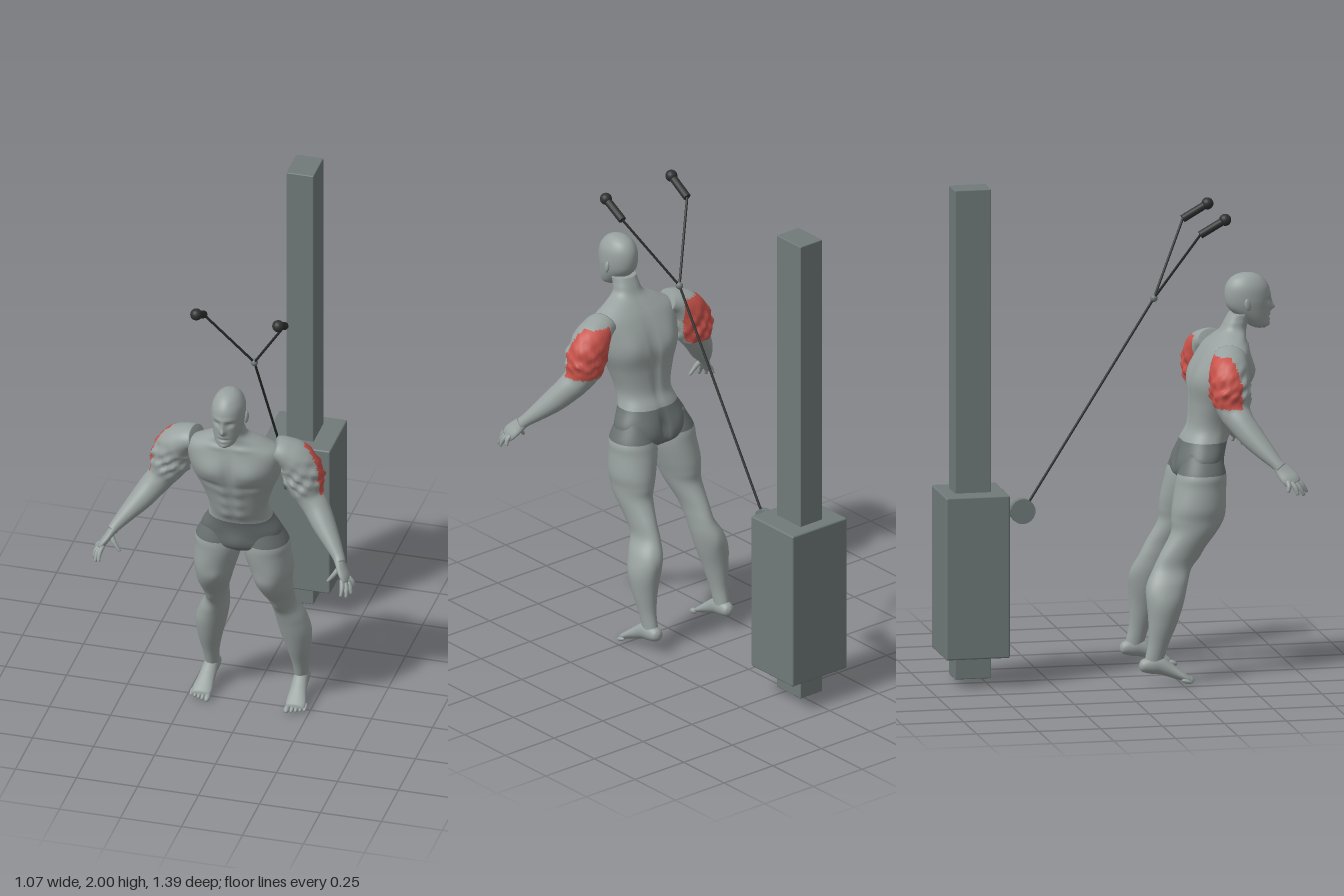
import * as THREE from 'three';
import { RoundedBoxGeometry } from 'three/addons/geometries/RoundedBoxGeometry.js';

const V = (x, y, z) => new THREE.Vector3(x, y, z);
const mat = (name, color) => {
  const m = new THREE.MeshStandardMaterial({ color });
  m.name = name;
  return m;
};

// Smooth skin through sections [x, y, z, radiusU, radiusV].
// axes: fixed [u, v] ring directions, or null to follow the path.
// warp(p, sin) shapes each point; pick(p) chooses the material of each face.
function loft(sections, { axes = null, side = 1, seg = 28, sub = 5, power = 1, warp = null, pick = () => 0 } = {}) {
  const path = new THREE.CatmullRomCurve3(sections.map(s => V(s[0], s[1], s[2])), false, 'catmullrom', 0.5);
  const radii = new THREE.CatmullRomCurve3(sections.map(s => V(s[3], s[4], 0)), false, 'catmullrom', 0.5);
  const n = (sections.length - 1) * sub;
  const pts = [];
  let facing = 1;
  for (let i = 0; i <= n; i++) {
    const c = path.getPoint(i / n), r = radii.getPoint(i / n), t = path.getTangent(i / n);
    let u, v;
    if (axes) [u, v] = axes;
    else {
      v = V(0, 0, 1).addScaledVector(t, -t.z).normalize();
      u = v.clone().cross(t);
    }
    facing = Math.sign(u.clone().cross(v).dot(t));
    for (let j = 0; j < seg; j++) {
      const a = (j / seg) * Math.PI * 2, co = Math.cos(a), si = Math.sin(a);
      const p = c.clone()
        .addScaledVector(u, Math.sign(co) * Math.abs(co) ** power * r.x)
        .addScaledVector(v, Math.sign(si) * Math.abs(si) ** power * r.y);
      if (warp) warp(p, si, c);
      pts.push(p);
    }
  }
  const first = pts.length;
  pts.push(path.getPoint(0), path.getPoint(1));
  const lists = [[], []];
  const face = (a, b, c) => {
    const mid = pts[a].clone().add(pts[b]).add(pts[c]).divideScalar(3);
    lists[pick(mid)].push(...(facing * side > 0 ? [a, b, c] : [a, c, b]));
  };
  for (let j = 0; j < seg; j++) {
    const k = (j + 1) % seg;
    for (let i = 0; i < n; i++) {
      const a = i * seg + j, b = i * seg + k;
      face(a, b, a + seg);
      face(b, b + seg, a + seg);
    }
    face(first, k, j);
    face(first + 1, n * seg + j, n * seg + k);
  }
  const g = new THREE.BufferGeometry();
  g.setAttribute('position', new THREE.Float32BufferAttribute(pts.flatMap(p => [p.x * side, p.y, p.z]), 3));
  g.setIndex([...lists[0], ...lists[1]]);
  g.addGroup(0, lists[0].length, 0);
  g.addGroup(lists[0].length, lists[1].length, 1);
  g.computeVertexNormals();
  return g;
}

// Soft mirrored swellings: [x, y, widthX, widthY, amount, 1 front | -1 back]
const bumps = list => (p, si) => {
  let dz = 0;
  for (const [x, y, wx, wy, d, f] of list) {
    const w = Math.exp(-(((Math.abs(p.x) - x) / wx) ** 2) - ((p.y - y) / wy) ** 2);
    dz += f * d * w * Math.max(0, f * si);
  }
  p.z += dz;
};

export function createModel() {
  const skin = mat('grey skin', 0x98a19f), shortsMat = mat('dark grey shorts', 0x697070);
  const red = mat('red muscle', 0xc8524a), steel = mat('machine grey', 0x707979);
  const dark = mat('dark cable and grips', 0x2d3130);
  const root = new THREE.Group();
  root.name = 'cableExercise';
  const add = (name, geometry, material, parent = root) => {
    const m = new THREE.Mesh(geometry, material);
    m.name = name;
    parent.add(m);
    return m;
  };
  const group = name => {
    const g = new THREE.Group();
    g.name = name;
    root.add(g);
    return g;
  };
  const X = V(1, 0, 0), Y = V(0, 1, 0), Z = V(0, 0, 1), flat = [X, Z];

  // Machine: post, weight housing, bracket and pulley
  const machine = group('machine');
  const box = (name, w, y0, y1, z0, z1, r) =>
    add(name, new RoundedBoxGeometry(w, y1 - y0, z1 - z0, 2, r), steel, machine).position.set(0, (y0 + y1) / 2, (z0 + z1) / 2);
  box('post', 0.112, 0.03, 2, -0.637, -0.49, 0.004);
  box('housing', 0.28, 0.125, 0.78, -0.69, -0.432, 0.007);
  box('pulleyBracket', 0.03, 0.67, 0.7, -0.44, -0.36, 0.004);
  const pulley = add('pulley', new THREE.CylinderGeometry(0.05, 0.05, 0.03, 32), steel, machine);
  pulley.rotation.z = Math.PI / 2;
  pulley.position.set(0, 0.687, -0.353);

  // Cable, ropes and grips
  const rig = group('cableRig');
  const rod = (name, a, b, r) => {
    const m = add(name, new THREE.CylinderGeometry(r, r, a.distanceTo(b), 14), dark, rig);
    m.position.copy(a).lerp(b, 0.5);
    m.quaternion.setFromUnitVectors(Y, b.clone().sub(a).normalize());
  };
  const knot = V(0, 1.522, 0.178);
  rod('cable', V(0, 0.725, -0.325), knot, 0.005);
  add('knot', new THREE.SphereGeometry(0.015, 16, 12), steel, rig).position.copy(knot);
  for (const s of [1, -1]) {
    const low = V(s * 0.166, 1.803, 0.33), high = V(s * 0.168, 1.86, 0.43);
    rod('rope', knot, low, 0.005);
    rod('grip', low, high, 0.016);
    add('gripBall', new THREE.SphereGeometry(0.024, 18, 14), dark, rig).position.copy(high);
  }

  // Torso, neck and hips
  const figure = group('figure');
  add('torso', loft([
    [0, 1.45, 0.525, 0.05, 0.045], [0, 1.42, 0.51, 0.053, 0.047], [0, 1.385, 0.496, 0.066, 0.052],
    [0, 1.35, 0.478, 0.13, 0.066], [0, 1.31, 0.467, 0.19, 0.088], [0, 1.25, 0.455, 0.19, 0.11],
    [0, 1.18, 0.438, 0.175, 0.118], [0, 1.1, 0.422, 0.142, 0.102], [0, 1.01, 0.405, 0.116, 0.092],
    [0, 0.95, 0.378, 0.128, 0.092], [0, 0.88, 0.36, 0.163, 0.092], [0, 0.82, 0.35, 0.14, 0.092],
    [0, 0.79, 0.35, 0.05, 0.06]
  ], {
    axes: flat, seg: 64, sub: 7, power: 0.9, pick: p => (p.y < 0.952 ? 1 : 0),
    warp: bumps([
      [0.085, 1.225, 0.06, 0.045, 0.016, 1], [0, 1.22, 0.012, 0.07, -0.01, 1], [0.09, 1.155, 0.05, 0.014, -0.01, 1],
      ...[1.12, 1.06, 1.0].map(y => [0.03, y, 0.022, 0.022, 0.008, 1]), [0, 0.85, 0.04, 0.04, 0.012, 1],
      [0.05, 1.335, 0.05, 0.012, 0.006, 1], [0, 1.12, 0.014, 0.15, -0.012, -1], [0.1, 1.22, 0.05, 0.06, 0.012, -1],
      [0.075, 0.87, 0.055, 0.05, 0.014, -1], [0, 0.86, 0.012, 0.05, -0.02, -1]
    ])
  }), [skin, shortsMat], figure);

  // Head with face relief, and ears
  add('head', loft([
    [0, 1.611, 0.552, 0.003, 0.003], [0, 1.606, 0.552, 0.026, 0.035], [0, 1.588, 0.552, 0.048, 0.066],
    [0, 1.555, 0.554, 0.064, 0.087], [0, 1.51, 0.556, 0.067, 0.092], [0, 1.47, 0.562, 0.062, 0.084],
    [0, 1.43, 0.583, 0.051, 0.06], [0, 1.402, 0.6, 0.037, 0.042], [0, 1.388, 0.607, 0.016, 0.022]
  ], {
    axes: flat, seg: 64, sub: 8,
    warp: bumps([
      [0.027, 1.5, 0.015, 0.011, -0.012, 1], [0.02, 1.521, 0.025, 0.008, 0.004, 1], [0, 1.468, 0.01, 0.013, 0.018, 1],
      [0, 1.49, 0.007, 0.02, 0.008, 1], [0, 1.441, 0.018, 0.006, 0.004, 1], [0, 1.431, 0.022, 0.003, -0.005, 1],
      [0, 1.422, 0.016, 0.005, 0.004, 1], [0, 1.4, 0.015, 0.009, 0.004, 1]
    ])
  }), [skin, skin], figure);

  for (const s of [1, -1]) {
    const side = s > 0 ? 'left' : 'right';
    const ear = add(side + 'Ear', new THREE.SphereGeometry(1, 16, 12), skin, figure);
    ear.scale.set(0.008, 0.025, 0.014);
    ear.position.set(s * 0.069, 1.492, 0.543);
    ear.rotation.set(-0.2, s * -0.3, 0);

    // Arm, with the back of the upper arm in red
    add(side + 'Arm', loft([
      [0.16, 1.312, 0.45, 0.045, 0.06], [0.2, 1.298, 0.442, 0.055, 0.07], [0.24, 1.265, 0.432, 0.072, 0.078],
      [0.264, 1.215, 0.428, 0.083, 0.078], [0.28, 1.16, 0.432, 0.077, 0.077], [0.303, 1.11, 0.442, 0.057, 0.064],
      [0.335, 1.07, 0.462, 0.053, 0.054], [0.375, 1.02, 0.498, 0.046, 0.048], [0.42, 0.97, 0.54, 0.034, 0.037],
      [0.455, 0.93, 0.575, 0.024, 0.026], [0.468, 0.912, 0.592, 0.021, 0.026]
    ], {
      side: s, seg: 40, sub: 7,
      pick: p => (p.x > 0.19 && p.y > 1.13 && p.y < 1.325 && p.z < 0.415 + (p.x - 0.25) * 0.5 ? 1 : 0),
      warp: (p, si, c) => {
        // Knotted muscle over the upper arm
        const w = Math.exp(-(((c.y - 1.19) / 0.06) ** 2));
        const k = Math.sin(p.x * 95 + p.y * 40) * Math.sin(p.y * 105 - p.z * 50) * Math.cos(p.z * 80);
        p.addScaledVector(p.clone().sub(c), 0.15 * w * k);
      }
    }), [skin, red], figure);

    // Hand: palm, fingers and thumb
    add(side + 'Palm', loft([
      [0.46, 0.922, 0.582, 0.019, 0.024], [0.477, 0.897, 0.604, 0.016, 0.034],
      [0.495, 0.872, 0.624, 0.015, 0.037], [0.506, 0.853, 0.637, 0.01, 0.03]
    ], { side: s, seg: 20 }), [skin, skin], figure);
    const fingers = [
      [0.49, 0.87, 0.648, 0.496, 0.818, 0.69], [0.5, 0.862, 0.638, 0.514, 0.808, 0.675],
      [0.506, 0.86, 0.626, 0.528, 0.812, 0.648], [0.507, 0.864, 0.612, 0.53, 0.826, 0.608],
      [0.468, 0.9, 0.606, 0.426, 0.842, 0.628]
    ];
    fingers.forEach(([a, b, c, d, e, f], i) => add(side + (i < 4 ? 'Finger' : 'Thumb'), loft([
      [a, b, c, 0.01, 0.011], [(a + d) / 2 + 0.004, (b + e) / 2 + 0.003, (c + f) / 2 + 0.003, 0.0095, 0.0095],
      [d, e, f, 0.006, 0.006]
    ], { side: s, seg: 12, sub: 4 }), [skin, skin], figure));

    // Leg, with the short leg of the shorts at its top
    add(side + 'Leg', loft([
      [0.085, 0.91, 0.36, 0.06, 0.07], [0.097, 0.83, 0.351, 0.091, 0.096], [0.099, 0.78, 0.345, 0.094, 0.102],
      [0.114, 0.7, 0.333, 0.087, 0.106], [0.119, 0.65, 0.327, 0.076, 0.104], [0.125, 0.6, 0.312, 0.067, 0.092],
      [0.134, 0.52, 0.258, 0.049, 0.082], [0.138, 0.46, 0.223, 0.045, 0.077], [0.156, 0.4, 0.2, 0.058, 0.08],
      [0.173, 0.33, 0.188, 0.062, 0.073], [0.181, 0.25, 0.176, 0.049, 0.058], [0.183, 0.17, 0.158, 0.034, 0.042],
      [0.183, 0.11, 0.142, 0.028, 0.038], [0.183, 0.07, 0.132, 0.027, 0.036]
    ], {
      axes: flat, side: s, seg: 36, sub: 6, pick: p => (p.y > 0.828 ? 1 : 0),
      warp: bumps([
        [0.135, 0.5, 0.022, 0.028, 0.008, 1], [0.085, 0.66, 0.03, 0.04, 0.006, 1], [0.15, 0.7, 0.03, 0.06, 0.006, 1],
        [0.14, 0.37, 0.025, 0.05, 0.006, -1], [0.195, 0.37, 0.025, 0.05, 0.006, -1]
      ])
    }), [skin, shortsMat], figure);

    // Foot and toes, sloping down to the toes
    add(side + 'Foot', loft([
      [0.183, 0.08, 0.08, 0.008, 0.01], [0.183, 0.081, 0.092, 0.024, 0.024], [0.184, 0.082, 0.125, 0.03, 0.034],
      [0.185, 0.08, 0.165, 0.031, 0.037], [0.188, 0.058, 0.21, 0.034, 0.029], [0.192, 0.034, 0.255, 0.04, 0.019],
      [0.193, 0.022, 0.28, 0.036, 0.012]
    ], { axes: [X, Y], side: s, seg: 24 }), [skin, skin], figure);
    for (let i = 0; i < 5; i++) {
      const toe = add(side + 'Toe', new THREE.SphereGeometry(1, 12, 10), skin, figure);
      const r = i ? 0.0085 : 0.012;
      toe.scale.set(r, r, 0.022);
      toe.position.set(s * (0.163 + i * 0.0165 + (i ? 0.003 : 0)), 0.016 + i * 0.001, 0.286 - i * 0.006);
      toe.rotation.x = 0.3;
    }
  }
  return root;
}
